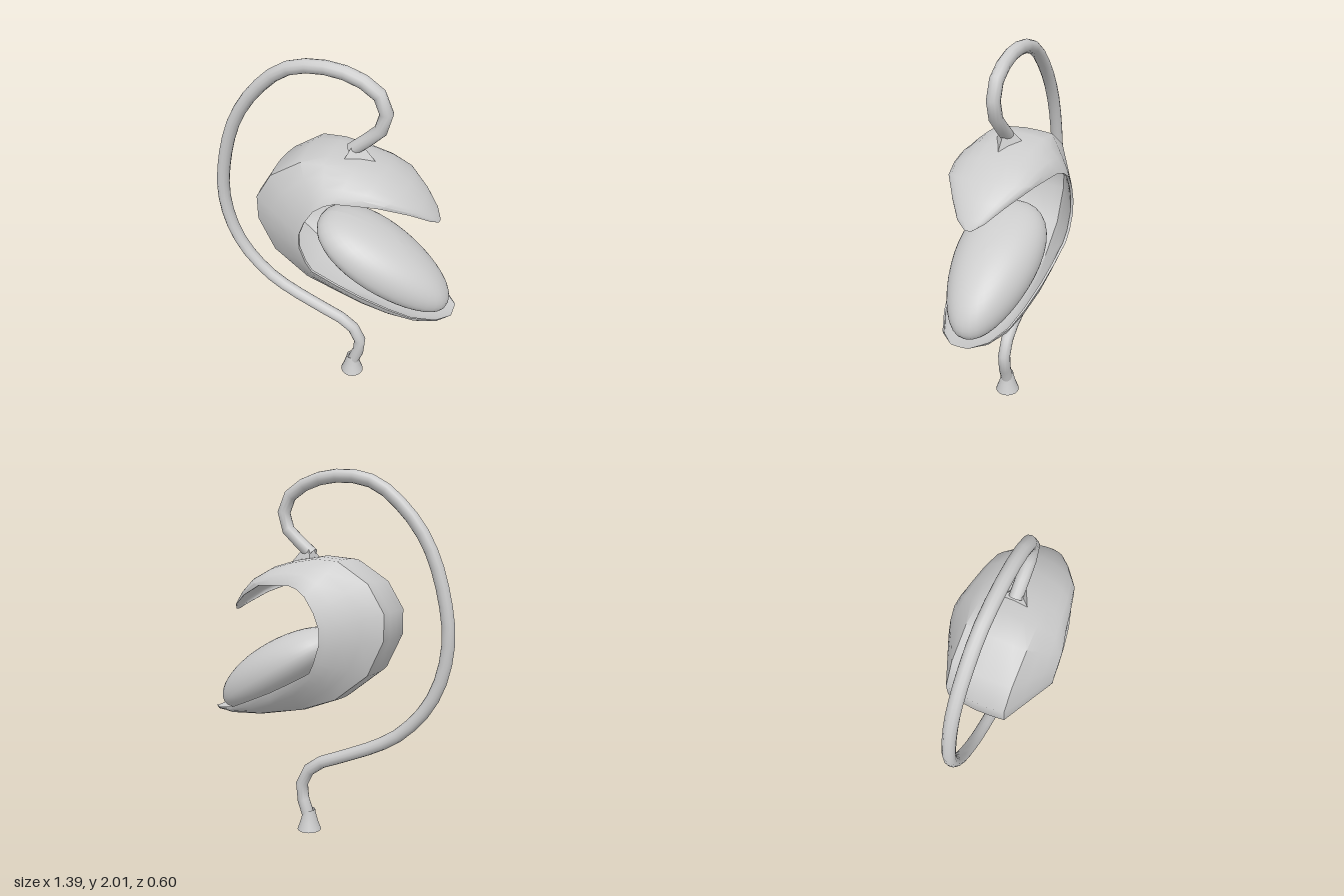
import * as THREE from 'three';
import { toCreasedNormals } from 'three/addons/utils/BufferGeometryUtils.js';

const material = new THREE.MeshStandardMaterial({ color: 0xcccccc, side: THREE.DoubleSide });

function addMesh(group, name, geometry) {
  const mesh = new THREE.Mesh(geometry, material);
  mesh.name = name;
  group.add(mesh);
  return mesh;
}

// Stations around the C-shaped pod, from hood tip to foot tip:
// spine x, y, rim x, y, half width, roundness of the section (0 = flat back with bevelled sides)
const STATIONS = [
  [0.565, 1.255, 0.56, 1.255, 0.02, 1],
  [0.54, 1.3, 0.53, 1.285, 0.07, 1],
  [0.48, 1.37, 0.44, 1.345, 0.14, 1],
  [0.4, 1.44, 0.3, 1.405, 0.225, 1],
  [0.28, 1.505, 0.2, 1.41, 0.25, 1],
  [0.15, 1.54, 0.1, 1.41, 0.27, 0.8],
  [0, 1.56, 0.05, 1.395, 0.285, 0.5],
  [-0.13, 1.545, 0, 1.36, 0.297, 0.15],
  [-0.3, 1.43, -0.05, 1.28, 0.3, 0],
  [-0.39, 1.28, -0.08, 1.2, 0.3, 0],
  [-0.39, 1.14, -0.08, 1.12, 0.3, 0],
  [-0.3, 0.95, -0.05, 1.03, 0.295, 0],
  [-0.11, 0.8, -0.02, 0.97, 0.285, 0.1],
  [0.1, 0.72, 0.1, 0.905, 0.27, 0.4],
  [0.25, 0.69, 0.23, 0.84, 0.25, 0.8],
  [0.37, 0.667, 0.38, 0.775, 0.22, 1],
  [0.55, 0.66, 0.5, 0.725, 0.185, 1],
  [0.64, 0.675, 0.62, 0.7, 0.13, 1],
  [0.69, 0.685, 0.69, 0.69, 0.05, 1],
];

// Half section: fraction of width and depth of the bevelled profile
const WIDTHS = [0, 0.3, 0.53, 0.7, 0.85, 0.95, 1];
const DEPTHS = [0, 0.02, 0.05, 0.39, 0.69, 0.89, 1];

function shellGeometry() {
  const last = WIDTHS.length - 1;
  const positions = [], index = [];
  for (const [sx, sy, rx, ry, w, round] of STATIONS) {
    const put = (i, inner) => {
      const k = Math.abs(i), f = WIDTHS[k];
      let d = THREE.MathUtils.lerp(DEPTHS[k], 1 - Math.sqrt(1 - f * f), round);
      if (inner) d += (1 - d) * 0.08;
      const z = Math.sign(i) * f * w * (inner ? 0.95 : 1);
      positions.push(sx + (rx - sx) * d, sy + (ry - sy) * d, z);
    };
    for (let i = -last; i <= last; i++) put(i, false);
    for (let i = last; i >= -last; i--) put(i, true);
  }
  const n = 2 * (2 * last + 1);
  for (let j = 0; j < STATIONS.length - 1; j++) {
    for (let i = 0; i < n; i++) {
      const a = j * n + i, d = j * n + (i + 1) % n;
      index.push(a, a + n, d + n, a, d + n, d);
    }
  }
  const geometry = new THREE.BufferGeometry();
  geometry.setAttribute('position', new THREE.Float32BufferAttribute(positions, 3));
  geometry.setIndex(index);
  return toCreasedNormals(geometry, 0.7);
}

// Egg-shaped cushion, wider at the back and flatter underneath
function cushionGeometry() {
  const geometry = new THREE.SphereGeometry(1, 36, 24);
  const p = geometry.attributes.position;
  for (let i = 0; i < p.count; i++) {
    const x = p.getX(i), y = p.getY(i), z = p.getZ(i);
    const side = Math.sign(z) * Math.pow(Math.abs(z), 0.9);
    p.setXYZ(i, x * 0.42, y * (y > 0 ? 0.168 : 0.135), side * 0.225 * (1 - 0.22 * x));
  }
  geometry.computeVertexNormals();
  return geometry;
}

export function createModel() {
  const group = new THREE.Group();

  // Pod and its cushion
  addMesh(group, 'podShell', shellGeometry());
  const cushion = addMesh(group, 'cushion', cushionGeometry());
  cushion.position.set(0.285, 0.92, 0);
  cushion.rotation.z = -Math.PI / 6;

  // Curved pole from the foot, round the back and over the top
  const path = [
    [0.122, 0.08], [0.135, 0.13], [0.16, 0.19], [0.165, 0.25], [0.14, 0.325], [0.075, 0.39],
    [-0.08, 0.455], [-0.26, 0.53], [-0.38, 0.595], [-0.465, 0.665], [-0.565, 0.785],
    [-0.635, 0.94], [-0.665, 1.135], [-0.645, 1.32], [-0.58, 1.55], [-0.5, 1.7],
    [-0.39, 1.83], [-0.27, 1.925], [-0.14, 1.965], [0.02, 1.965], [0.15, 1.925],
    [0.235, 1.86], [0.26, 1.77], [0.23, 1.69], [0.16, 1.625], [0.09, 1.565],
  ].map(([x, y]) => new THREE.Vector3(x, y, 0));
  const curve = new THREE.CatmullRomCurve3(path);
  addMesh(group, 'pole', new THREE.TubeGeometry(curve, 34, 0.035, 12));

  // Flared foot
  const foot = [[0, 0], [0.068, 0], [0.05, 0.05], [0.037, 0.1], [0.034, 0.12]]
    .map(([r, y]) => new THREE.Vector2(r, y));
  const footMesh = addMesh(group, 'foot', toCreasedNormals(new THREE.LatheGeometry(foot, 16), 0.7));
  footMesh.position.x = 0.117;

  // Three-cornered bracket joining the pole to the pod
  const bracket = addMesh(group, 'bracket', toCreasedNormals(
    new THREE.CylinderGeometry(0.03, 0.1, 0.075, 3, 1, false, Math.PI / 2), 0.5));
  bracket.position.set(0.115, 1.56, 0);

  return group;
}
